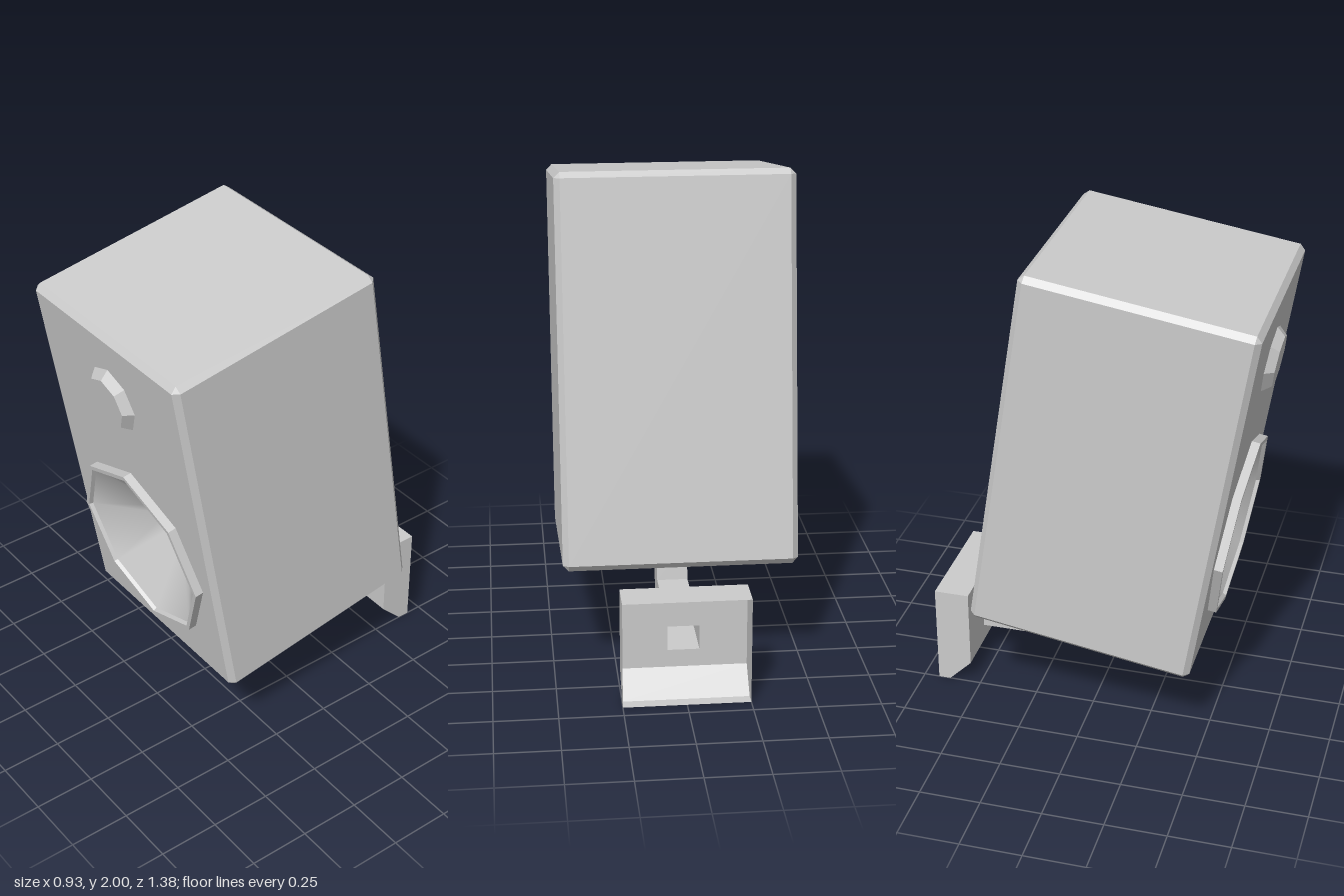
import * as THREE from 'three';

const flat = new THREE.MeshStandardMaterial({ color: 0xcccccc, flatShading: true, side: THREE.DoubleSide });
const smooth = new THREE.MeshStandardMaterial({ color: 0xcccccc, side: THREE.DoubleSide });

function addMesh(parent, name, geometry, material = flat) {
  const mesh = new THREE.Mesh(geometry, material);
  mesh.name = name;
  parent.add(mesh);
  return mesh;
}

// Skin between successive rows of [x, y, z] points
function loft(rows, closed = true) {
  const pos = [];
  const n = rows[0].length;
  for (let i = 0; i < rows.length - 1; i++) {
    for (let j = 0; j < (closed ? n : n - 1); j++) {
      const k = (j + 1) % n;
      const a = rows[i][j], b = rows[i][k], c = rows[i + 1][k], d = rows[i + 1][j];
      pos.push(...a, ...b, ...c, ...a, ...c, ...d);
    }
  }
  const g = new THREE.BufferGeometry();
  g.setAttribute('position', new THREE.Float32BufferAttribute(pos, 3));
  g.computeVertexNormals();
  return g;
}

const polygon = (pts) => new THREE.Shape(pts.map(([x, y]) => new THREE.Vector2(x, y)));
const rect = (x0, y0, x1, y1) => [[x0, y0], [x1, y0], [x1, y1], [x0, y1]];
const octagon = (r, cy) => Array.from({ length: 8 }, (_, i) =>
  [r * Math.cos(i * Math.PI / 4), cy + r * Math.sin(i * Math.PI / 4)]);

// Eight-sided lathe whose axis points forward
function lathe(points) {
  return new THREE.LatheGeometry(points.map(([r, h]) => new THREE.Vector2(r, h)), 8).rotateX(Math.PI / 2);
}

function createCabinet() {
  const cabinet = new THREE.Group();
  cabinet.name = 'cabinet';
  const w = 0.4625, h = 0.7725, d = 0.46, b = 0.023;
  const wooferY = -0.279, tweeterY = 0.475;

  // Shell with every edge chamfered; the end rows collapse onto four corners
  const row = (cx, cy, z) => [
    [-w + b, -cy, z], [w - b, -cy, z], [cx, -h + b, z], [cx, h - b, z],
    [w - b, cy, z], [-w + b, cy, z], [-cx, h - b, z], [-cx, -h + b, z]];
  addMesh(cabinet, 'cabinetShell', loft([
    row(w - b, h - b, -d), row(w, h, -d + b), row(w, h, d - b), row(w - b, h - b, d)]));

  // Back panel, and front panel with the woofer opening
  const panel = () => polygon(rect(-w + b, -h + b, w - b, h - b));
  addMesh(cabinet, 'backPanel', new THREE.ShapeGeometry(panel()).rotateY(Math.PI)).position.z = -d;
  const front = panel();
  front.holes.push(polygon(octagon(0.362, wooferY)));
  addMesh(cabinet, 'frontPanel', new THREE.ShapeGeometry(front)).position.z = d;

  // Woofer: raised rim, deep cone and dust cap
  const woofer = new THREE.Group();
  woofer.name = 'woofer';
  woofer.position.set(0, wooferY, d);
  addMesh(woofer, 'wooferRim', lathe([[0.38, 0], [0.38, 0.035], [0.361, 0.035], [0.354, 0.02]]));
  addMesh(woofer, 'wooferCone', lathe([[0.354, 0.02], [0.085, -0.158]]), smooth);
  addMesh(woofer, 'dustCap', new THREE.CircleGeometry(0.09, 8, Math.PI / 8)).position.z = -0.155;
  cabinet.add(woofer);

  // Tweeter: shallow tapered button
  addMesh(cabinet, 'tweeter', lathe([[0.137, 0], [0.106, 0.036], [0, 0.036]])).position.set(0, tweeterY, d);

  cabinet.position.set(0, 1.168, 0.112);
  cabinet.rotation.x = THREE.MathUtils.degToRad(9);
  return cabinet;
}

function createBracket() {
  const bracket = new THREE.Group();
  bracket.name = 'wallBracket';
  const w = 0.25, front = -0.54, back = -0.685, top = 0.433, a = 0.0625, lo = 0.167, hi = 0.267;

  // Hollow arm, bending up to the cabinet: [outer y, outer z, inner y, inner z]
  const sections = [
    [lo, front, hi, front], [lo, -0.12, hi, -0.135], [0.145, 0.018, hi, -0.087], [0.4, 0.056, 0.42, -0.065]];
  addMesh(bracket, 'arm', loft(sections.map(([yo, zo, yi, zi]) =>
    [[-a, yo, zo], [a, yo, zo], [a, yi, zi], [-a, yi, zi]])));

  // Wall box, open at the back, with a sloped lower edge
  const strip = (pts) => loft([-w, w].map((x) => pts.map(([y, z]) => [x, y, z])), false);
  addMesh(bracket, 'wallBoxTop', strip([[top, back], [top, front]]));
  addMesh(bracket, 'wallBoxBottom', strip([[0.095, front], [0, -0.635], [0, back]]));
  const face = polygon(rect(-w, 0.095, w, top));
  face.holes.push(polygon(rect(-a, lo, a, hi)));
  addMesh(bracket, 'wallBoxFront', new THREE.ShapeGeometry(face)).position.z = front;
  const side = polygon([[-front, 0.095], [0.635, 0], [-back, 0], [-back, top], [-front, top]]);
  for (const s of [-1, 1]) {
    addMesh(bracket, 'wallBoxSide', new THREE.ShapeGeometry(side).rotateY(Math.PI / 2)).position.x = s * w;
  }
  return bracket;
}

export function createModel() {
  const model = new THREE.Group();
  model.name = 'wallSpeaker';
  model.add(createCabinet(), createBracket());
  return model;
}
